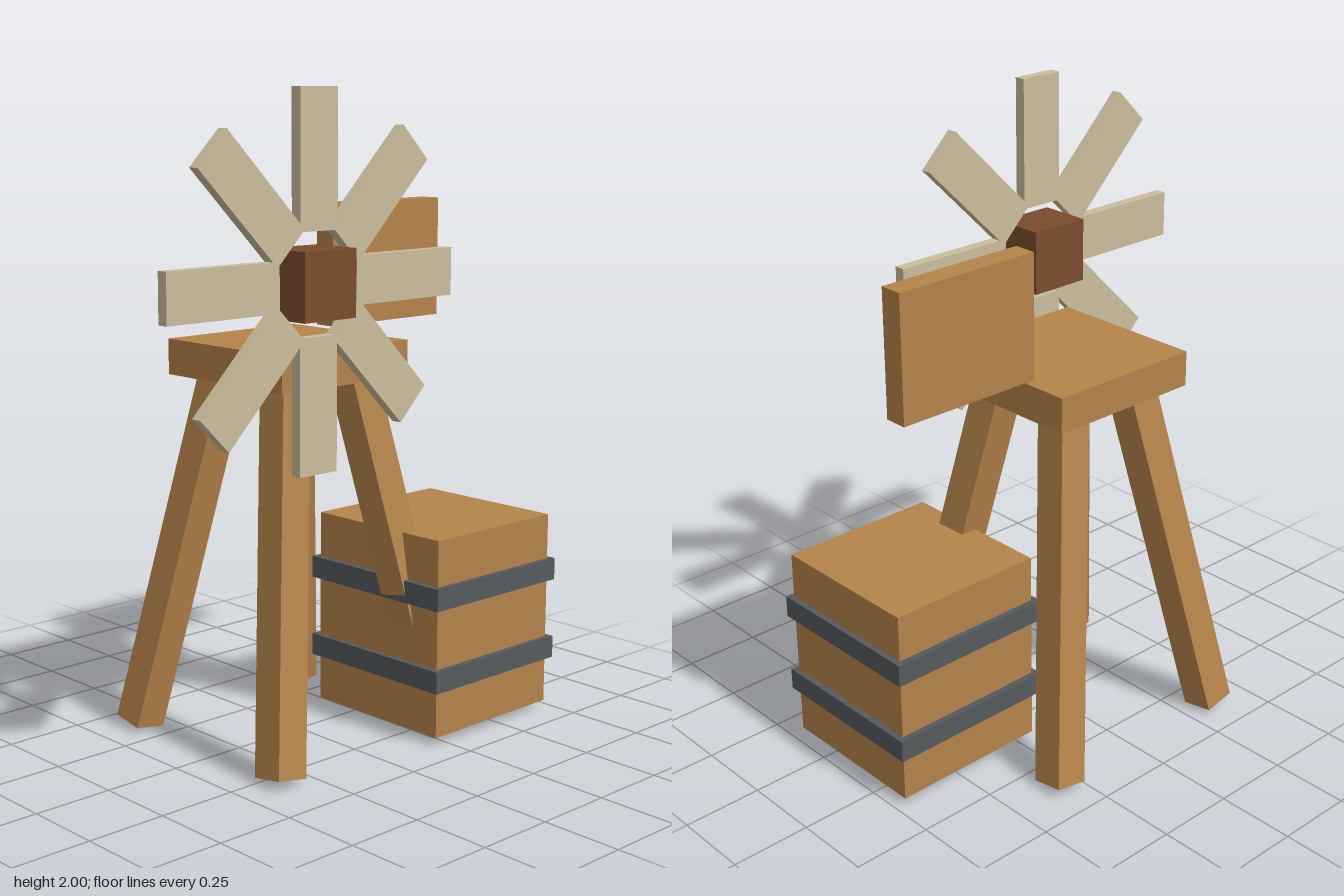
import * as THREE from 'three';

const material = (name, color) => {
  const m = new THREE.MeshStandardMaterial({ color });
  m.name = name;
  return m;
};

export function createModel() {
  const wood = material('wood', 0xb5834a);
  const darkWood = material('dark wood', 0x7a4c2c);
  const sailCloth = material('pale sail', 0xcabd9c);
  const iron = material('iron', 0x555a5e);

  const model = new THREE.Group();
  model.name = 'windPump';

  const box = (name, mat, size, pos, parent = model) => {
    const mesh = new THREE.Mesh(new THREE.BoxGeometry(...size), mat);
    mesh.name = name;
    mesh.position.set(...pos);
    parent.add(mesh);
    return mesh;
  };

  // Stand: square platform on four splayed legs
  const stand = new THREE.Group();
  stand.name = 'stand';
  stand.position.set(-0.02, 0, -0.03);
  model.add(stand);
  box('platform', wood, [0.516, 0.11, 0.516], [0, 1.188, 0], stand);
  for (const sx of [-1, 1]) {
    for (const sz of [-1, 1]) {
      const leg = box('leg', wood, [0.106, 1.18, 0.106], [sx * 0.234, 0.592, sz * 0.234], stand);
      leg.rotation.set(-sz * 0.17, 0, sx * 0.17);
    }
  }

  // Wheel: eight blades around a square hub
  const wheel = new THREE.Group();
  wheel.name = 'wheel';
  wheel.position.set(-0.188, 1.448, 0.268);
  model.add(wheel);
  box('hub', darkWood, [0.2, 0.2, 0.165], [0, 0, -0.016], wheel);
  for (let i = 0; i < 8; i++) {
    const spoke = new THREE.Group();
    spoke.name = 'spoke';
    spoke.rotation.z = (i * Math.PI) / 4;
    wheel.add(spoke);
    box('blade', sailCloth, [0.145, 0.402, 0.035], [0, 0.351, 0], spoke);
  }

  // Tail vane behind the wheel
  box('tailVane', wood, [0.48, 0.386, 0.073], [0.46, 1.448, -0.119]);

  // Square tub with two iron bands
  box('tub', wood, [0.516, 0.625, 0.516], [0.461, 0.338, 0.141]);
  for (const y of [0.209, 0.47]) {
    box('band', iron, [0.552, 0.07, 0.552], [0.461, y, 0.14]);
  }

  return model;
}
